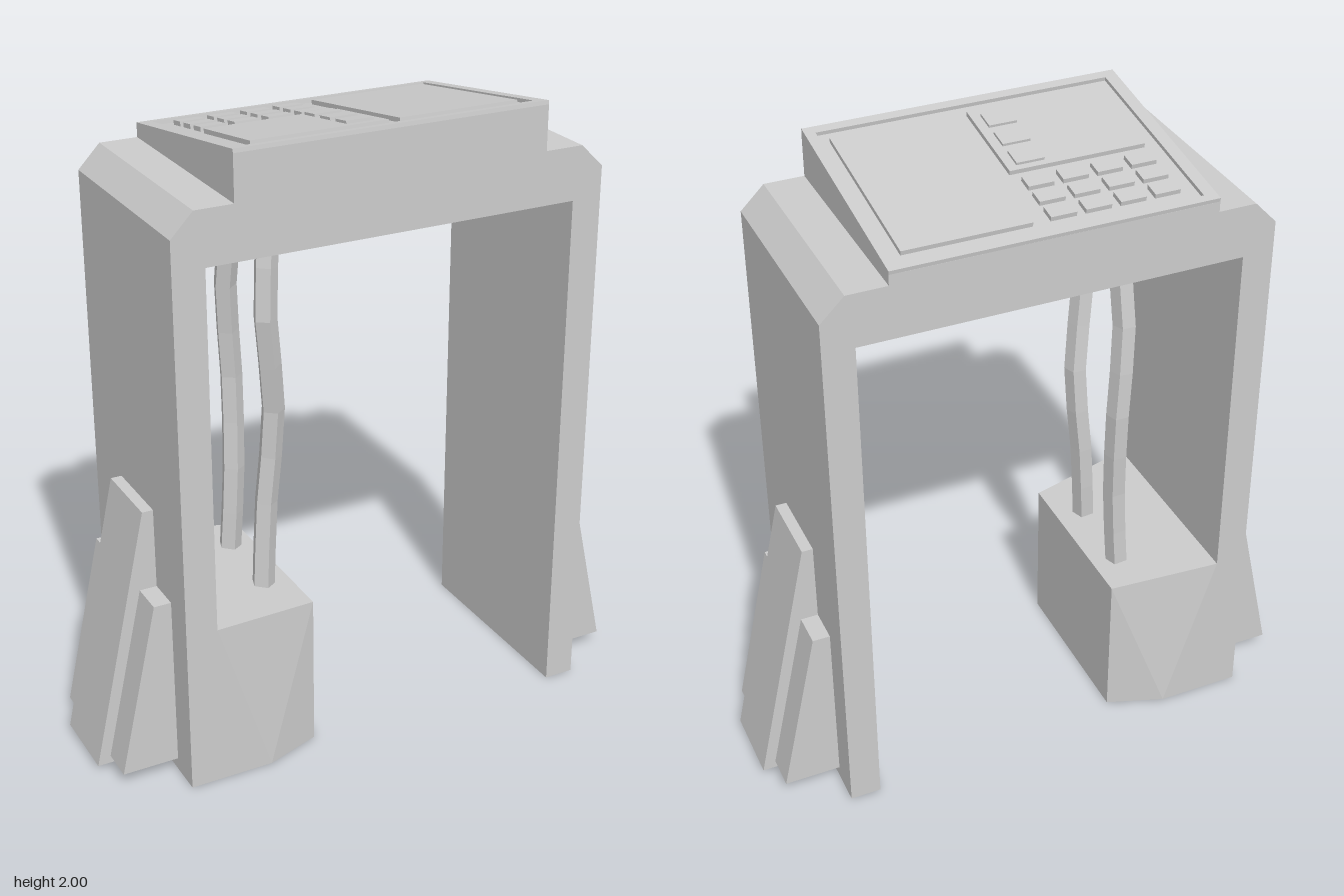
import * as THREE from 'three';

const grey = new THREE.MeshStandardMaterial({ color: 0xcccccc, flatShading: true });

function add(parent, name, geometry, x = 0, y = 0, z = 0) {
  const mesh = new THREE.Mesh(geometry, grey);
  mesh.name = name;
  mesh.position.set(x, y, z);
  parent.add(mesh);
  return mesh;
}

const shapeOf = (points) => new THREE.Shape(points.map(([x, y]) => new THREE.Vector2(x, y)));

// Extrude a front-view outline between two depths
function slab(points, z0, z1) {
  return new THREE.ExtrudeGeometry(shapeOf(points), { depth: z1 - z0, bevelEnabled: false }).translate(0, 0, z0);
}

// Rectangle outline from two corners
const rect = (x0, y0, x1, y1) => [[x0, y0], [x1, y0], [x1, y1], [x0, y1]];

// Pedestal: cross-sections along x, narrowing towards the inner side
function pedestalGeometry() {
  const corners = [
    [-0.6, 0, 0.343], [-0.43, 0, 0.343], [-0.25, 0, 0.28], [-0.25, 0.5, 0.28], [-0.6, 0.535, 0.343],
  ];
  const front = corners, back = corners.map(([x, y, z]) => [x, y, -z]);
  const pos = [];
  const tri = (a, b, c) => pos.push(...a, ...b, ...c);
  for (const [i, j, k] of [[0, 1, 4], [1, 2, 3], [1, 3, 4]]) {
    tri(front[i], front[j], front[k]);
    tri(back[i], back[k], back[j]);
  }
  for (let i = 0; i < 5; i++) {
    const j = (i + 1) % 5;
    tri(front[i], back[i], back[j]);
    tri(front[i], back[j], front[j]);
  }
  const g = new THREE.BufferGeometry();
  g.setAttribute('position', new THREE.Float32BufferAttribute(pos, 3));
  g.computeVertexNormals();
  return g;
}

export function createModel() {
  const model = new THREE.Group();
  model.name = 'consoleArch';
  const D = 0.343;

  // Arch: two legs and a beam with chamfered shoulders
  add(model, 'arch', slab([
    [-0.7, 0], [-0.6, 0], [-0.6, 1.68], [0.592, 1.68], [0.592, 0], [0.69, 0],
    [0.69, 1.775], [0.615, 1.848], [-0.63, 1.848], [-0.7, 1.775],
  ], -D, D));

  // Pedestal against the inside of one leg
  add(model, 'pedestal', pedestalGeometry());

  // Cables from pedestal up to the beam
  const cables = [
    [[-0.345, 0.48, 0.12], [-0.325, 0.78, 0.11], [-0.3, 1.1, 0.12], [-0.335, 1.43, 0.15], [-0.305, 1.72, 0.12]],
    [[-0.335, 0.48, -0.15], [-0.315, 0.78, -0.15], [-0.305, 1.1, -0.17], [-0.325, 1.43, -0.15], [-0.31, 1.72, -0.1]],
  ];
  for (const path of cables) {
    const curve = new THREE.CatmullRomCurve3(path.map((p) => new THREE.Vector3(...p)));
    add(model, 'cable', new THREE.TubeGeometry(curve, 8, 0.037, 5, false));
  }

  // Wedge-shaped buttresses on the outside of each leg
  for (const side of [1, -1]) {
    const buttress = new THREE.Group();
    buttress.name = side > 0 ? 'leftButtress' : 'rightButtress';
    buttress.position.x = side > 0 ? 0.69 : -0.7;
    if (side < 0) buttress.rotation.y = Math.PI;
    const tall = [[-0.02, 0.015], [0.222, 0.015], [0.035, 0.86], [-0.02, 0.86]];
    const low = [[-0.02, 0.04], [0.18, 0.04], [0.055, 0.6], [-0.02, 0.6]];
    add(buttress, 'tallWedge', slab(tall, -0.125, 0.125));
    add(buttress, 'frontWedge', slab(low, 0.125, 0.235));
    add(buttress, 'rearWedge', slab(low, -0.235, -0.125));
    model.add(buttress);
  }

  // Console body with sloping top, profile in z and y
  const rim = 0.012;
  const body = new THREE.ExtrudeGeometry(
    shapeOf([[-D, 1.83], [D, 1.83], [D, 2 - rim], [-D, 1.893 - rim]]),
    { depth: 1.0, bevelEnabled: false },
  ).rotateY(-Math.PI / 2);
  add(model, 'consoleBody', body, 0.49);

  // Sloping control panel, laid out in its own tilted plane
  const panel = new THREE.Group();
  panel.name = 'controlPanel';
  panel.position.set(0, 1.9465 - rim, 0);
  panel.rotation.x = -Math.atan2(0.107, 2 * D);
  model.add(panel);

  const frame = shapeOf(rect(-0.51, -0.347, 0.49, 0.347));
  frame.holes.push(new THREE.Path(rect(-0.47, -0.315, 0.458, 0.32).reverse().map((p) => new THREE.Vector2(...p))));
  add(panel, 'panelFrame',
    new THREE.ExtrudeGeometry(frame, { depth: rim, bevelEnabled: false }).rotateX(-Math.PI / 2));

  // Raised plate on the panel, given by its corners
  const plate = (name, x0, z0, x1, z1, bottom, top) =>
    add(panel, name, new THREE.BoxGeometry(x1 - x0, top - bottom, z1 - z0),
      (x0 + x1) / 2, (top + bottom) / 2, (z0 + z1) / 2);

  plate('largeScreen', 0.04, -0.28, 0.43, 0.273, -0.005, 0.014);
  plate('smallScreen', -0.425, -0.04, 0.005, 0.273, -0.005, 0.014);
  for (let i = 0; i < 3; i++) {
    const z = -0.02 + i * 0.098;
    plate('screenButton', -0.113, z, -0.025, z + 0.065, 0.01, 0.022);
  }
  for (let row = 0; row < 3; row++) {
    for (let col = 0; col < 4; col++) {
      const x = -0.42 + col * 0.108, z = -0.275 + row * 0.075;
      plate('key', x, z, x + 0.08, z + 0.05, -0.005, 0.014);
    }
  }
  return model;
}
